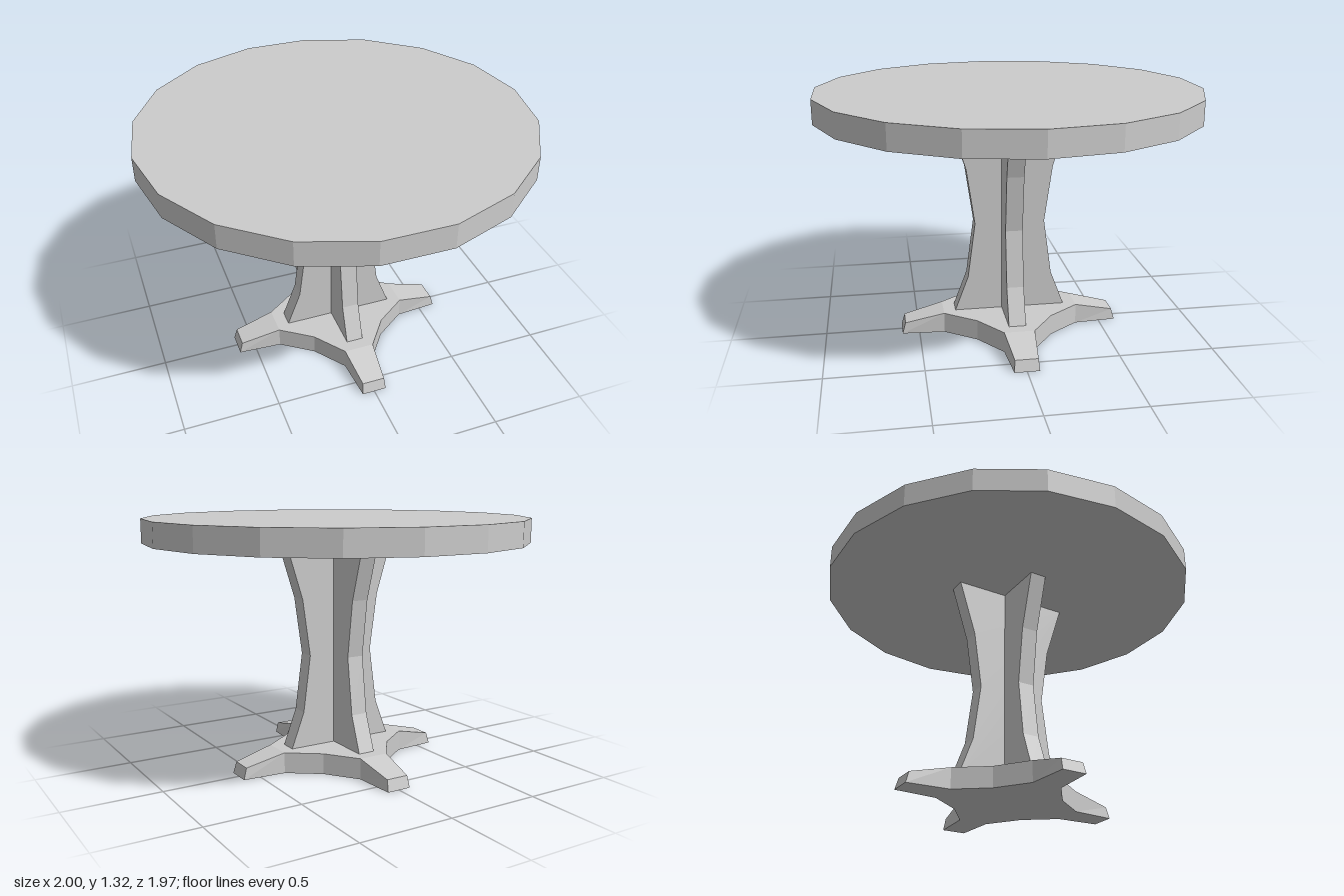
import * as THREE from 'three';

const material = new THREE.MeshStandardMaterial({ color: 0xcccccc, flatShading: true });

function addMesh(group, name, geometry) {
  const mesh = new THREE.Mesh(geometry, material);
  mesh.name = name;
  group.add(mesh);
  return mesh;
}

// Flat plate with a waisted outline, centred on its thickness
function finGeometry(thickness) {
  const profile = [[0.3, 0.11], [0.228, 0.3], [0.187, 0.6], [0.23, 0.9], [0.322, 1.19]];
  const right = profile.map(([x, y]) => new THREE.Vector2(x, y));
  const left = profile.map(([x, y]) => new THREE.Vector2(-x, y)).reverse();
  const geometry = new THREE.ExtrudeGeometry(new THREE.Shape([...right, ...left]), {
    depth: thickness, bevelEnabled: false,
  });
  return geometry.translate(0, 0, -thickness / 2);
}

// Four-armed foot: each arm slopes down from its shoulders to a blunt tip
function footGeometry() {
  const height = 0.11;
  // One quarter of the outline, arm along +z: x, z, top x, top z, top height
  const quarter = [
    [-0.2, 0.2, -0.2, 0.2, height],
    [-0.08, 0.365, -0.08, 0.365, height],
    [-0.065, 0.592, -0.06, 0.575, 0.06],
    [0.065, 0.592, 0.06, 0.575, 0.06],
    [0.08, 0.365, 0.08, 0.365, height],
  ];
  const up = new THREE.Vector3(0, 1, 0);
  const bottom = [], top = [];
  for (let arm = 0; arm < 4; arm++) {
    for (const [x, z, tx, tz, ty] of quarter) {
      bottom.push(new THREE.Vector3(x, 0, z).applyAxisAngle(up, arm * Math.PI / 2));
      top.push(new THREE.Vector3(tx, ty, tz).applyAxisAngle(up, arm * Math.PI / 2));
    }
  }

  const points = [];
  const triangle = (a, b, c) => points.push(a, b, c);
  const quad = (a, b, c, d) => { triangle(a, b, c); triangle(a, c, d); };
  const floor = new THREE.Vector3();
  const crown = new THREE.Vector3(0, height, 0);
  const count = bottom.length;

  // Side walls and underside
  for (let i = 0; i < count; i++) {
    const j = (i + 1) % count;
    quad(bottom[i], bottom[j], top[j], top[i]);
    triangle(floor, bottom[j], bottom[i]);
  }
  // Flat centre and sloping arm tops
  for (let k = 0; k < count; k += 5) {
    triangle(crown, top[k], top[k + 1]);
    triangle(crown, top[k + 1], top[k + 4]);
    triangle(crown, top[k + 4], top[(k + 5) % count]);
    quad(top[k + 1], top[k + 2], top[k + 3], top[k + 4]);
  }
  const geometry = new THREE.BufferGeometry().setFromPoints(points);
  geometry.computeVertexNormals();
  return geometry;
}

export function createModel() {
  const group = new THREE.Group();
  group.name = 'pedestalTable';

  // Eighteen-sided top with corners on the x axis
  const tabletop = addMesh(group, 'tabletop',
    new THREE.CylinderGeometry(1, 1, 0.125, 18).rotateY(Math.PI / 2));
  tabletop.position.y = 1.2525;

  // Two crossed fins form the column
  const column = new THREE.Group();
  column.name = 'column';
  group.add(column);
  const fin = finGeometry(0.09);
  addMesh(column, 'sideFin', fin);
  addMesh(column, 'frontFin', fin).rotation.y = Math.PI / 2;

  addMesh(group, 'foot', footGeometry());
  return group;
}
